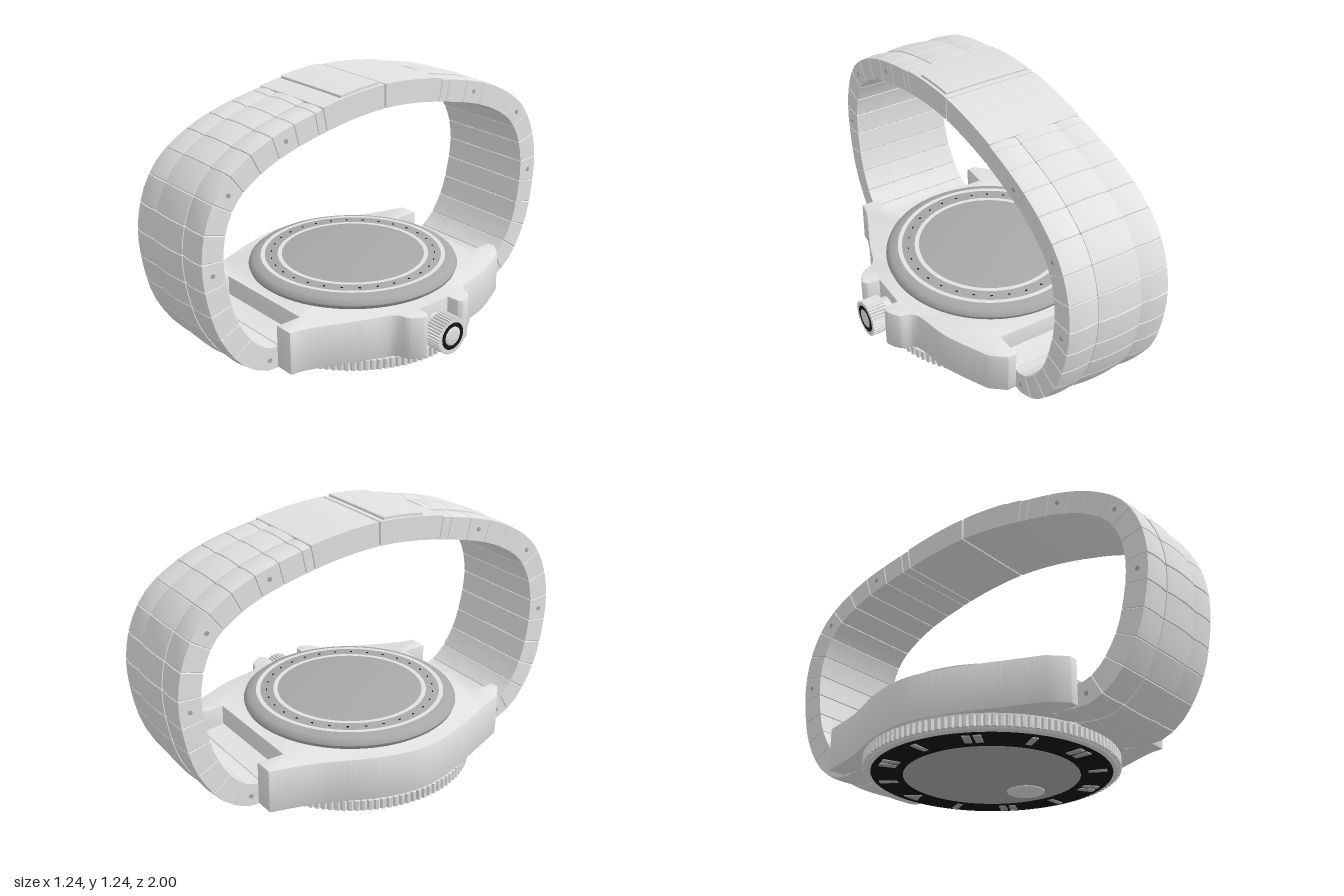
import * as THREE from 'three';
import { toCreasedNormals } from 'three/addons/utils/BufferGeometryUtils.js';

const CX = -0.055; // centre line of the dial and bracelet

export function createModel() {
  const root = new THREE.Group();
  root.name = 'wristwatch';

  const material = (name, color) => {
    const m = new THREE.MeshStandardMaterial({ color });
    m.name = name;
    return m;
  };
  const steel = material('steel', 0xe2e2e2);
  const darkSteel = material('dark steel', 0xa8a8a8);
  const black = material('black', 0x141414);
  const glass = material('glass', 0xa8a8a8);

  const add = (name, geo, mat, x = 0, y = 0, z = 0, parent = root) => {
    const mesh = new THREE.Mesh(geo, mat);
    mesh.name = name;
    mesh.position.set(x, y, z);
    parent.add(mesh);
    return mesh;
  };
  const lathe = (name, pts, mat) => {
    const geo = new THREE.LatheGeometry(pts.map(p => new THREE.Vector2(...p)), 96);
    return add(name, toCreasedNormals(geo, 0.6), mat, CX);
  };
  // Toothed disc extruded along z
  const knurl = (r, depth, teeth, height) => {
    const shape = new THREE.Shape();
    for (let i = 0; i < teeth; i++) {
      [[0, r - depth], [0.25, r], [0.7, r], [0.95, r - depth]].forEach(([f, q], k) => {
        const a = (i + f) / teeth * Math.PI * 2;
        const x = Math.cos(a) * q, y = Math.sin(a) * q;
        if (i + k === 0) shape.moveTo(x, y); else shape.lineTo(x, y);
      });
    }
    return new THREE.ExtrudeGeometry(shape, { depth: height, bevelEnabled: false });
  };

  // Case with lugs and crown guards
  const v = list => list.map(p => new THREE.Vector2(...p));
  const outline = new THREE.Shape();
  outline.moveTo(-0.32, 0.65);
  outline.lineTo(-0.36, 0.65);
  outline.lineTo(-0.43, 0.58);
  outline.splineThru(v([[-0.49, 0.43], [-0.575, 0.21], [-0.617, 0], [-0.575, -0.21], [-0.47, -0.45], [-0.41, -0.655]]));
  outline.lineTo(-0.32, -0.655);
  outline.lineTo(-0.32, -0.53);
  outline.lineTo(0.21, -0.53);
  outline.lineTo(0.21, -0.655);
  outline.lineTo(0.25, -0.655);
  outline.lineTo(0.32, -0.6);
  outline.splineThru(v([[0.415, -0.4], [0.46, -0.22], [0.53, -0.18], [0.566, -0.12], [0.55, -0.092]]));
  outline.lineTo(0.49, -0.088);
  outline.lineTo(0.49, 0.088);
  outline.lineTo(0.55, 0.092);
  outline.splineThru(v([[0.566, 0.12], [0.53, 0.18], [0.46, 0.22], [0.41, 0.35], [0.32, 0.56], [0.3, 0.65]]));
  outline.lineTo(0.21, 0.65);
  outline.lineTo(0.21, 0.53);
  outline.lineTo(-0.32, 0.53);
  outline.closePath();
  const caseGeo = new THREE.ExtrudeGeometry(outline, {
    depth: 0.19, bevelThickness: 0.006, bevelSize: 0.006, bevelOffset: -0.006, bevelSegments: 2, curveSegments: 40,
  });
  caseGeo.rotateX(Math.PI / 2);
  add('case', toCreasedNormals(caseGeo, 0.6), steel, 0, 0.295, 0);

  // Case back with bright rings and engraved dashes
  lathe('caseBack', [[0.47, 0.295], [0.487, 0.308], [0.492, 0.322], [0.487, 0.336], [0.472, 0.348], [0.44, 0.357], [0, 0.357]], darkSteel);
  for (const [a, b] of [[0.335, 0.355], [0.415, 0.435]]) {
    const ring = new THREE.RingGeometry(a, b, 96);
    ring.rotateX(-Math.PI / 2);
    add('caseBackRing', ring, steel, CX, 0.359, 0);
  }
  for (let i = 0; i < 30; i++) {
    const a = i / 30 * Math.PI * 2;
    const dash = add('engravedDash', new THREE.BoxGeometry(0.005, 0.004, 0.01), black,
      CX + Math.cos(a) * 0.386, 0.358, Math.sin(a) * 0.386);
    dash.rotation.y = -a;
  }

  // Rotating bezel on the underside
  lathe('bezelRim', [[0.525, 0.029], [0.543, 0.035], [0.55, 0.045], [0.55, 0.108]], steel);
  const grip = knurl(0.562, 0.011, 120, 0.048);
  grip.rotateX(Math.PI / 2);
  add('bezelGrip', grip, steel, CX, 0.09, 0);
  lathe('bezelInsert', [[0.385, 0.022], [0.525, 0.029]], black);
  for (let i = 0; i < 12; i++) {
    const a = i / 12 * Math.PI * 2;
    const marker = new THREE.Group();
    marker.name = 'bezelMarker';
    marker.position.set(CX, 0.0255, 0);
    marker.rotation.y = a;
    root.add(marker);
    if (i === 3) {
      add('triangleMarker', new THREE.CylinderGeometry(0.05, 0.05, 0.007, 3), glass, 0.46, 0, 0, marker).rotation.y = -Math.PI / 2;
    } else if (i % 2) {
      for (const s of [-1, 1]) add('doubleBar', new THREE.BoxGeometry(0.075, 0.007, 0.032), glass, 0.46, 0, s * 0.023, marker);
    } else {
      add('singleBar', new THREE.BoxGeometry(0.08, 0.007, 0.026), glass, 0.46, 0, 0, marker);
    }
  }

  // Crystal and magnifier lens
  lathe('crystal', [[0, 0.018], [0.375, 0.018], [0.383, 0.021], [0.387, 0.03]], glass);
  const lens = new THREE.SphereGeometry(0.085, 32, 16);
  lens.scale(1, 0.2, 1);
  add('magnifierLens', lens, steel, 0.185, 0.017, 0);

  // Crown
  const crown = new THREE.Group();
  crown.name = 'crown';
  crown.position.set(0, 0.183, 0);
  root.add(crown);
  const crownGrip = knurl(0.086, 0.008, 36, 0.085);
  crownGrip.rotateY(Math.PI / 2);
  add('crownGrip', crownGrip, steel, 0.528, 0, 0, crown);
  const alongX = (r, len) => new THREE.CylinderGeometry(r, r, len, 32).rotateZ(-Math.PI / 2);
  add('crownStem', alongX(0.066, 0.06), steel, 0.505, 0, 0, crown);
  add('crownRing', alongX(0.064, 0.004), black, 0.612, 0, 0, crown);
  const button = new THREE.SphereGeometry(0.046, 24, 12);
  button.scale(0.2, 1, 1);
  add('crownButton', button, steel, 0.612, 0, 0, crown);

  // Bracelet path, from the back lugs over the top to the front lugs
  const half = [[0.52, 0.155], [0.61, 0.145], [0.69, 0.145], [0.785, 0.2], [0.88, 0.34], [0.926, 0.5], [0.941, 0.67],
    [0.91, 0.82], [0.84, 0.935], [0.72, 1.02], [0.58, 1.078], [0.35, 1.132], [0.17, 1.16]];
  const path = new THREE.CatmullRomCurve3([
    ...half.map(([z, y]) => new THREE.Vector3(0, y, -z)),
    new THREE.Vector3(0, 1.17, 0),
    ...half.slice().reverse().map(([z, y]) => new THREE.Vector3(0, y, z)),
  ]);
  path.arcLengthDivisions = 800;
  const L = path.getLength(), mid = L / 2, claspHalf = 0.34;
  const widthAt = s => 0.22 + 0.045 * Math.max(0, (Math.abs(s - mid) - claspHalf) / (mid - claspHalf));
  const X = new THREE.Vector3(1, 0, 0);

  // Domed bar from s0 to s1 along the path; x0 and x1 are fractions of the half width
  const segment = (name, x0, x1, s0, s1, low, high, dome, steps) => {
    const b = 0.003, wRef = 0.24;
    const a0 = x0 * wRef + b, a1 = x1 * wRef - b;
    const shape = new THREE.Shape();
    shape.moveTo(a0, low + b);
    shape.lineTo(a1, low + b);
    shape.lineTo(a1, high - b - dome);
    shape.quadraticCurveTo((a0 + a1) / 2, high - b + dome, a0, high - b - dome);
    shape.closePath();
    const geo = new THREE.ExtrudeGeometry(shape, {
      depth: s1 - s0 - 2 * b, steps, bevelThickness: b, bevelSize: b, bevelSegments: 1, curveSegments: 8,
    });
    const p = geo.attributes.position;
    for (let i = 0; i < p.count; i++) {
      const s = s0 + b + p.getZ(i), t = THREE.MathUtils.clamp(s / L, 0, 1);
      const c = path.getPointAt(t);
      const n = path.getTangentAt(t).cross(X).normalize();
      c.addScaledVector(n, p.getY(i));
      p.setXYZ(i, CX + p.getX(i) / wRef * widthAt(s), c.y, c.z);
    }
    return add(name, toCreasedNormals(geo, 0.55), steel);
  };

  // Three-column links on both halves, with a short link beside the clasp and a few pins
  const count = 15, shortLink = 0.4, pitch = (mid - claspHalf) / (count - 1 + shortLink);
  for (const dir of [-1, 1]) {
    for (let i = 0; i < count; i++) {
      const near = claspHalf + (i === 0 ? 0 : i - 1 + shortLink) * pitch;
      const far = claspHalf + (i + shortLink) * pitch;
      const s = mid + dir * (near + far) / 2, h = (far - near) / 2 - 0.0003;
      segment('leftLink', 0.433, 1, s - h, s + h, -0.055, 0.054, 0.006, 2);
      segment('rightLink', -1, -0.433, s - h, s + h, -0.055, 0.054, 0.006, 2);
      segment('middleLink', -0.433, 0.433, s - h, s + h, -0.055, 0.059, 0.007, 2);
      if (![2, 5, 8, 13].includes(i)) continue;
      const c = path.getPointAt(s / L);
      for (const side of [-1, 1]) {
        add('linkPin', alongX(0.01, 0.006), darkSteel, CX + side * widthAt(s), c.y, c.z);
      }
    }
  }

  // Folding clasp in two halves with a raised cover plate
  segment('claspBack', -1, 1, mid - claspHalf + 0.001, mid - 0.003, -0.055, 0.055, 0.002, 8);
  segment('claspFront', -1, 1, mid + 0.003, mid + claspHalf - 0.001, -0.055, 0.055, 0.002, 8);
  segment('claspCover', -0.94, 0.94, mid + 0.025, mid + 0.235, 0.045, 0.066, 0.001, 6);

  return root;
}
